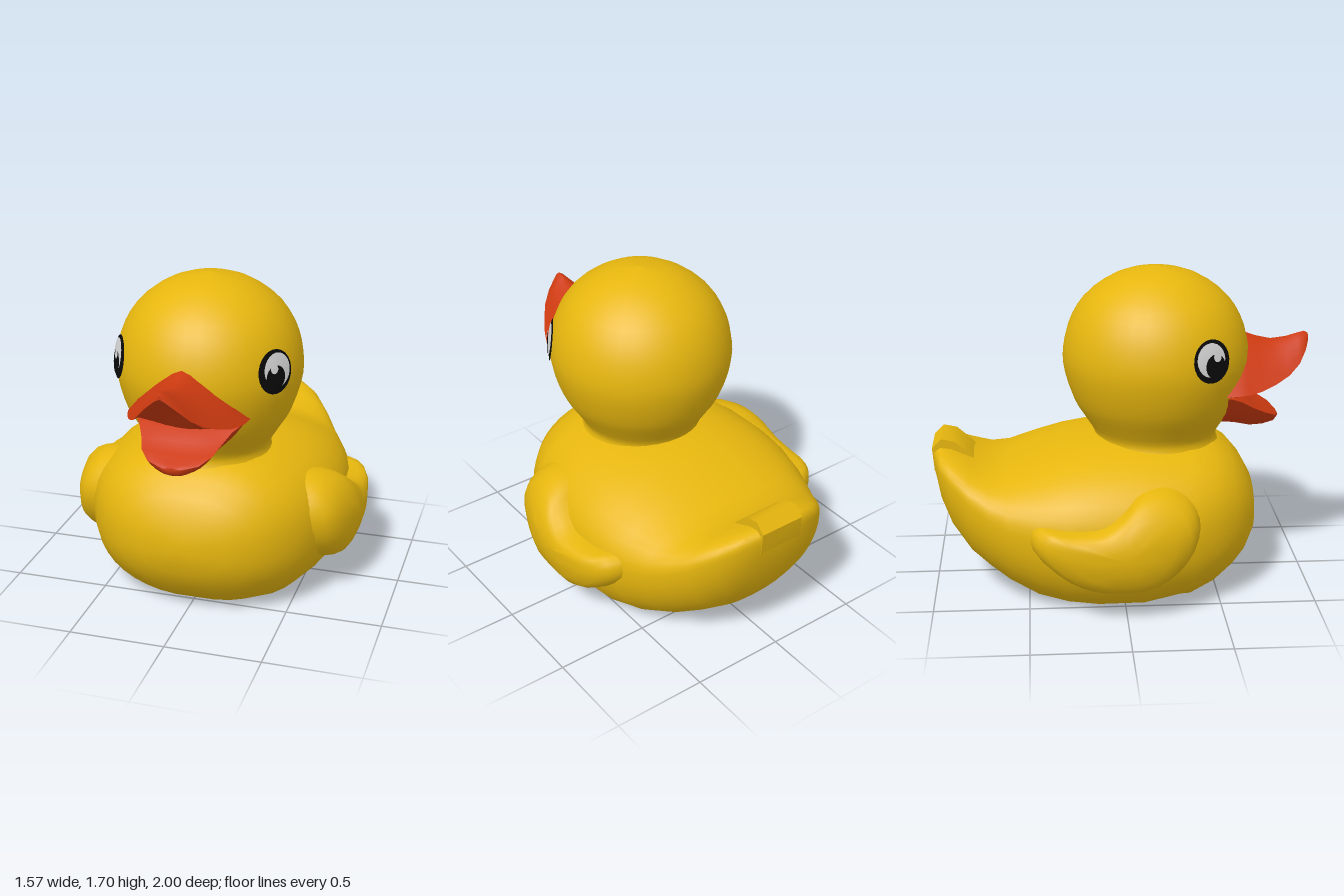
import * as THREE from 'three';
import { toCreasedNormals } from 'three/addons/utils/BufferGeometryUtils.js';

const V = (x, y, z) => new THREE.Vector3(x, y, z);

// Skin closed rings into a surface, facing outward, with soft normals and kept creases
function loft(rings, crease = 0.7) {
  const n = rings[0].length, pts = rings.flat(), tris = [];
  const add = (a, b, c) => {
    if (pts[a].distanceTo(pts[b]) > 1e-6 && pts[b].distanceTo(pts[c]) > 1e-6 && pts[a].distanceTo(pts[c]) > 1e-6) tris.push([a, b, c]);
  };
  for (let i = 0; i < rings.length - 1; i++) {
    for (let j = 0; j < n; j++) {
      const a = i * n + j, b = i * n + (j + 1) % n;
      add(a, b, b + n);
      add(a, b + n, a + n);
    }
  }
  const centre = V(0, 0.4, 0);
  if (pts.every(p => p.z > 0.4)) centre.set(0, 1, 0.6);
  const rel = pts.map(p => p.clone().sub(centre));
  let volume = 0;
  for (const [a, b, c] of tris) volume += rel[a].dot(rel[b].clone().cross(rel[c]));
  if (volume < 0) tris.forEach(t => t.reverse());
  const geo = new THREE.BufferGeometry().setFromPoints(pts);
  geo.setIndex(tris.flat());
  return toCreasedNormals(geo, crease);
}

// Close both ends of a run of rings at their middles
function capped(rings) {
  const cap = r => {
    const m = r.reduce((s, p) => s.add(p), V(0, 0, 0)).divideScalar(r.length);
    return r.map(() => m.clone());
  };
  return [cap(rings[0]), ...rings, cap(rings[rings.length - 1])];
}

// Body sections: z, bottom, top, half width, height of the widest point
const SECTIONS = [
  [0.73, 0.35, 0.45, 0.07, 0.4], [0.705, 0.25, 0.56, 0.24, 0.4], [0.65, 0.15, 0.66, 0.36, 0.4],
  [0.58, 0.08, 0.74, 0.455, 0.4], [0.48, 0, 0.795, 0.54, 0.4], [0.35, -0.06, 0.82, 0.61, 0.4],
  [0.1, -0.11, 0.825, 0.67, 0.4], [-0.14, -0.11, 0.82, 0.68, 0.4], [-0.3, -0.09, 0.79, 0.665, 0.41],
  [-0.45, -0.04, 0.745, 0.625, 0.43], [-0.6, 0.04, 0.695, 0.56, 0.46], [-0.7, 0.11, 0.69, 0.5, 0.5],
  [-0.8, 0.19, 0.725, 0.435, 0.56], [-0.9, 0.33, 0.77, 0.345, 0.64], [-0.955, 0.47, 0.78, 0.265, 0.68],
  [-0.99, 0.63, 0.765, 0.14, 0.71],
];
const POWER = 2.3;

function bodyHalfWidth(z, y) {
  let i = 0;
  while (i < SECTIONS.length - 2 && SECTIONS[i + 1][0] > z) i++;
  const A = SECTIONS[i], B = SECTIONS[i + 1], t = (z - A[0]) / (B[0] - A[0]);
  const [, bottom, top, w, c] = A.map((a, k) => a + (B[k] - a) * t);
  const d = Math.abs(y - c) / (y > c ? top - c : c - bottom);
  return w * Math.pow(Math.max(0, 1 - Math.pow(d, POWER)), 1 / POWER);
}

function bodyGeometry() {
  const N = 40, curve = v => Math.sign(v) * Math.pow(Math.abs(v), 2 / POWER);
  return loft(capped(SECTIONS.map(([z, bottom, top, w, c]) =>
    Array.from({ length: N }, (_, j) => {
      const a = j / N * Math.PI * 2, s = curve(Math.sin(a));
      const y = c + s * (s > 0 ? top - c : c - bottom);
      return V(w * curve(Math.cos(a)), Math.max(y, 0.02 - 0.03 * z), z); // flat underside
    }))));
}

// Comma-shaped wing, puffed out from the flank
function wingGeometry(side) {
  const outline = [[0.37, 0.48], [0.33, 0.6], [0.22, 0.67], [0.07, 0.655], [-0.03, 0.57], [-0.13, 0.51],
    [-0.3, 0.5], [-0.46, 0.5], [-0.48, 0.41], [-0.32, 0.24], [-0.12, 0.16], [0.15, 0.18], [0.31, 0.31]];
  const line = new THREE.CatmullRomCurve3(outline.map(([z, y]) => V(0, y, z)), true).getPoints(40).slice(0, 40);
  const layers = [[1.03, -0.03], [1, 0.015], [0.95, 0.055], [0.85, 0.085], [0.65, 0.1], [0.35, 0.107], [0, 0.11]];
  return loft(layers.map(([s, out]) => line.map(p => {
    const z = p.z * s, y = 0.38 + (p.y - 0.38) * s;
    return V(side * (bodyHalfWidth(z, y) + out), y, z);
  })), 1.2);
}

// Bill half from rows of z, half width, top, edge, underside
function billGeometry(rows, power) {
  const N = 12;
  return loft(capped(rows.map(([z, w, top, edge, under]) => {
    const at = (u, mid) => V(w * u, edge + (mid - edge) * (1 - Math.pow(Math.abs(u), power)), z);
    const ring = [];
    for (let j = 0; j < N; j++) ring.push(at(1 - 2 * j / N, top));
    for (let j = 0; j < N; j++) ring.push(at(-1 + 2 * j / N, under));
    return ring;
  })), 0.9);
}

// Thin disc curved like the head
function eyeDisc(radius, x, y, lift) {
  const g = new THREE.RingGeometry(0, radius, 24, 4);
  g.translate(x, y, 0);
  const p = g.attributes.position;
  for (let i = 0; i < p.count; i++) p.setZ(i, lift - (p.getX(i) ** 2 + p.getY(i) ** 2) / 1.1);
  g.computeVertexNormals();
  return g;
}

export function createModel() {
  const model = new THREE.Group();
  model.name = 'rubberDuck';
  const material = (name, color) => {
    const m = new THREE.MeshStandardMaterial({ color });
    m.name = name;
    return m;
  };
  const yellow = material('yellow', 0xe6b60e), red = material('orange red', 0xcc3a10);
  const black = material('black', 0x0a0a0a), white = material('white', 0xd8d8d8);
  const add = (name, geo, mat, parent = model) => {
    const mesh = new THREE.Mesh(geo, mat);
    mesh.name = name;
    parent.add(mesh);
    return mesh;
  };

  add('body', bodyGeometry(), yellow);
  add('leftWing', wingGeometry(1), yellow);
  add('rightWing', wingGeometry(-1), yellow);

  // Raised middle tail feather
  const tail = new THREE.Shape([[-0.72, 0.65], [-0.8, 0.735], [-0.88, 0.805], [-0.95, 0.82], [-1, 0.77],
    [-0.99, 0.65], [-0.95, 0.52], [-0.85, 0.6]].map(([z, y]) => new THREE.Vector2(z, y)));
  const tailGeo = new THREE.ExtrudeGeometry(tail, { depth: 0.25, bevelEnabled: false });
  tailGeo.rotateY(-Math.PI / 2).translate(0.125, 0, 0);
  add('tailFeather', toCreasedNormals(tailGeo, 0.8), yellow);

  // Head and neck
  const profile = new THREE.SplineCurve([[0.33, 0.77], [0.32, 0.82], [0.365, 0.9], [0.43, 1.01], [0.477, 1.17],
    [0.477, 1.3], [0.437, 1.44], [0.348, 1.567], [0.19, 1.67], [0, 1.71]].map(([r, y]) => new THREE.Vector2(r, y)));
  const headPoints = profile.getPoints(24);
  headPoints[24].x = 0;
  const head = add('head', new THREE.LatheGeometry(headPoints, 36), yellow);
  head.position.z = 0.19;
  head.scale.z = 1.02;

  // Open bill
  add('upperBill', billGeometry([
    [0.46, 0.31, 1.34, 1.07, 1.0], [0.6, 0.305, 1.355, 1.08, 1.0], [0.65, 0.29, 1.35, 1.08, 1.04],
    [0.72, 0.262, 1.325, 1.09, 1.12], [0.8, 0.225, 1.308, 1.115, 1.19], [0.88, 0.175, 1.318, 1.15, 1.24],
    [0.94, 0.13, 1.335, 1.2, 1.275], [0.98, 0.075, 1.345, 1.26, 1.3], [1.0, 0.025, 1.335, 1.305, 1.315],
  ], 1.4), red);
  add('lowerBill', billGeometry([
    [0.44, 0.27, 1.06, 1.06, 0.85], [0.56, 0.285, 1.06, 1.06, 0.86], [0.62, 0.24, 1.05, 1.03, 0.85],
    [0.69, 0.205, 0.985, 0.985, 0.835], [0.76, 0.18, 0.945, 0.95, 0.84], [0.82, 0.13, 0.92, 0.92, 0.855],
    [0.845, 0.05, 0.905, 0.9, 0.875],
  ], 2.2), red);

  // Eyes, built in layers; the pupil looks forward and down
  for (const side of [1, -1]) {
    const eye = new THREE.Group();
    eye.name = side > 0 ? 'leftEye' : 'rightEye';
    const a = side * THREE.MathUtils.degToRad(59);
    eye.rotation.set(-0.14, a, 0, 'YXZ');
    eye.position.set(0.478 * Math.sin(a), 1.3, 0.19 + 0.485 * Math.cos(a));
    add('eyeRim', eyeDisc(0.112, 0, 0, 0.006), black, eye);
    add('eyeWhite', eyeDisc(0.087, -side * -0.008, 0.008, 0.01), white, eye);
    add('pupil', eyeDisc(0.062, -side * 0.012, -0.026, 0.014), black, eye);
    add('highlight', eyeDisc(0.024, -side * 0.022, 0.02, 0.018), white, eye);
    model.add(eye);
  }

  // Squeaker under the body
  const rim = add('squeakerRim', new THREE.TorusGeometry(0.065, 0.012, 6, 10), yellow);
  rim.rotation.x = Math.PI / 2;
  rim.position.y = 0.02;
  const plug = add('squeakerPlug', new THREE.ConeGeometry(0.035, 0.015, 8), yellow);
  plug.rotation.x = Math.PI;
  plug.position.y = 0.013;
  return model;
}
